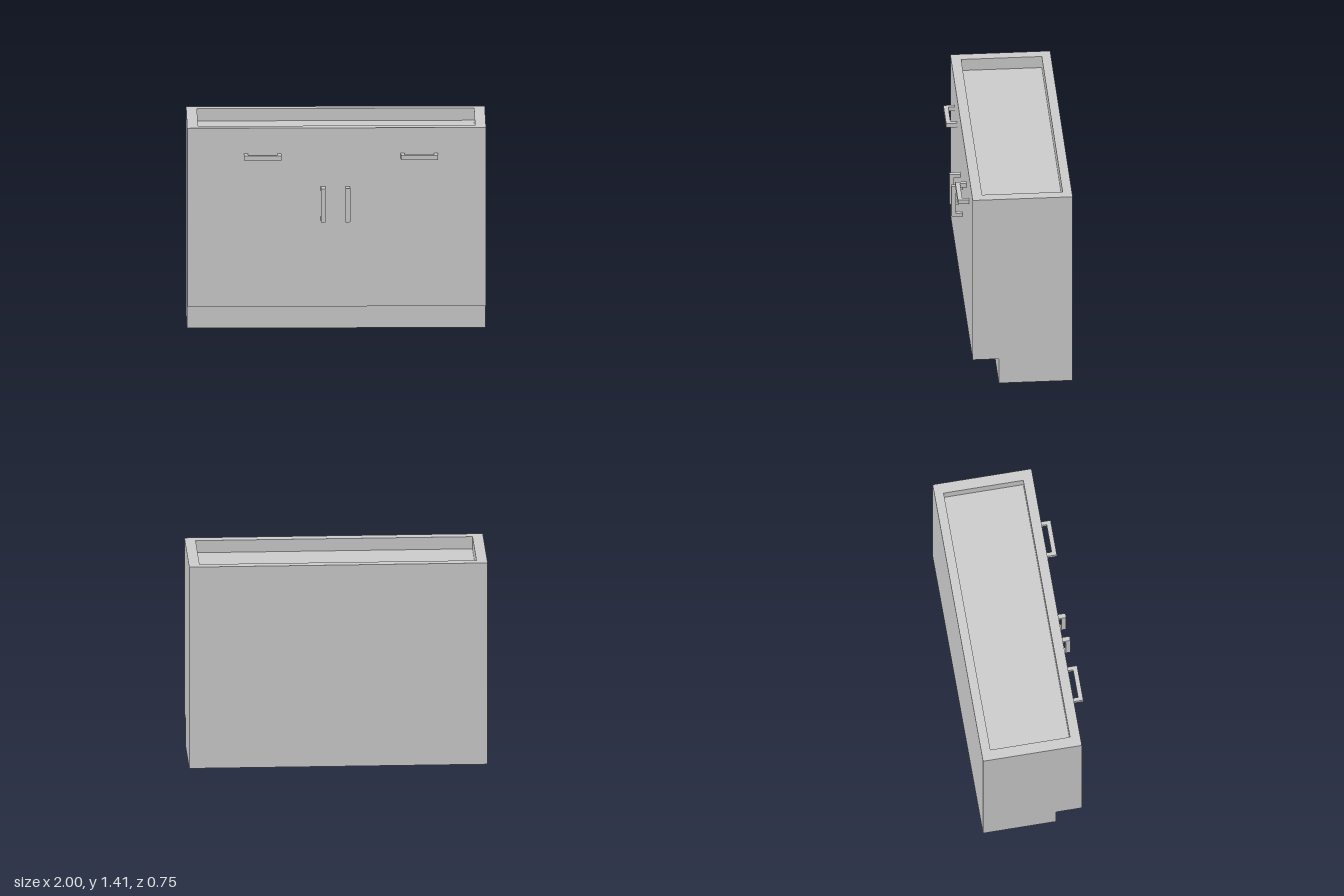
import * as THREE from 'three';

const material = new THREE.MeshStandardMaterial({ color: 0xcccccc, flatShading: true });
const TOP = 1.41, KICK = 0.186, RECESS = 0.085;
const BACK = -0.373, FRONT = 0.298, KICK_FRONT = 0.123, HANDLE_FRONT = 0.373;

const polygon = (points) => new THREE.Shape(points.map(([x, y]) => new THREE.Vector2(x, y)));
const extrude = (shape, depth) => new THREE.ExtrudeGeometry(shape, { depth, bevelEnabled: false });

function addMesh(group, name, geometry) {
  const mesh = new THREE.Mesh(geometry, material);
  mesh.name = name;
  group.add(mesh);
  return mesh;
}

// Square-section U handle: length along x, standing out along +z
function handleGeometry(length, leg) {
  const h = length / 2, out = HANDLE_FRONT - FRONT, bar = 0.031, width = 0.031;
  const shape = polygon([
    [-h, 0], [-h + leg, 0], [-h + leg, out - bar], [h - leg, out - bar],
    [h - leg, 0], [h, 0], [h, out], [-h, out],
  ]);
  return extrude(shape, width).translate(0, 0, -width / 2).rotateX(Math.PI / 2);
}

export function createModel() {
  const group = new THREE.Group();
  group.name = 'cabinet';

  // Body with toe-kick notch: side profile (z, y) swept across x
  const side = polygon([
    [BACK, 0], [KICK_FRONT, 0], [KICK_FRONT, KICK], [FRONT, KICK],
    [FRONT, TOP - RECESS], [BACK, TOP - RECESS],
  ]);
  addMesh(group, 'cabinetBody', extrude(side, 2).rotateY(-Math.PI / 2).translate(1, 0, 0));

  // Raised rim around the recessed top
  const rim = polygon([[-1, -FRONT], [1, -FRONT], [1, -BACK], [-1, -BACK]]);
  const x = 0.928, zBack = -0.311, zFront = 0.23;
  rim.holes.push(polygon([[-x, -zFront], [-x, -zBack], [x, -zBack], [x, -zFront]]));
  addMesh(group, 'topRim', extrude(rim, RECESS).rotateX(-Math.PI / 2).translate(0, TOP - RECESS, 0));

  // Horizontal drawer handles
  const drawer = handleGeometry(0.25, 0.026);
  [['rightDrawerHandle', -0.496], ['leftDrawerHandle', 0.554]].forEach(([name, px]) =>
    addMesh(group, name, drawer).position.set(px, 1.22, FRONT));

  // Vertical door handles
  const door = handleGeometry(0.23, 0.024).rotateZ(Math.PI / 2);
  [['rightDoorHandle', -0.091], ['leftDoorHandle', 0.075]].forEach(([name, px]) =>
    addMesh(group, name, door).position.set(px, 0.894, FRONT));

  return group;
}
